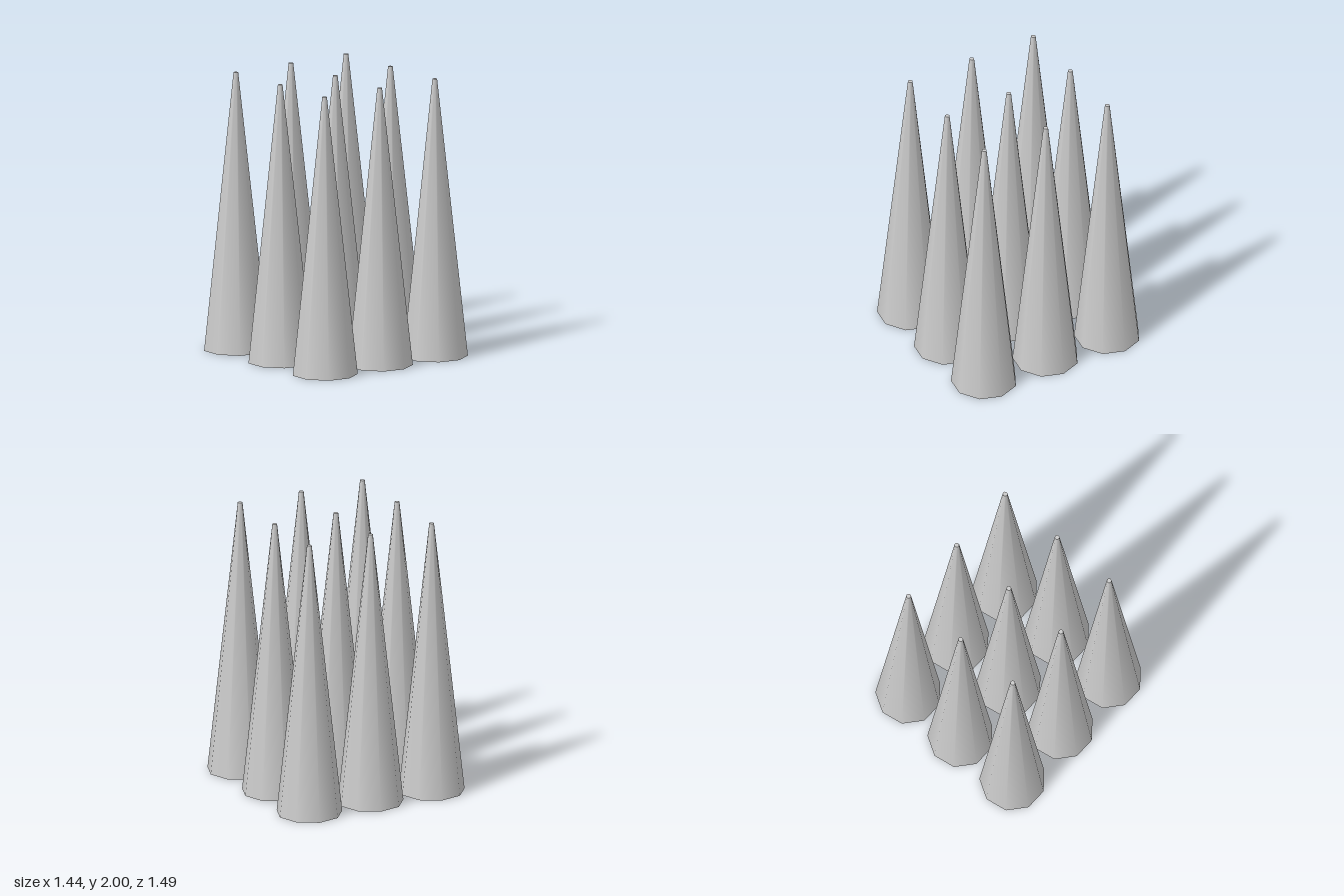
import * as THREE from 'three';

const TOP_RADIUS = 0.017;
const BASE_RADIUS = 0.235;
const HEIGHT = 2;
const SIDES = 9;
const SPACING_X = 0.491;
const SPACING_Z = 0.513;
// A nine-sided base reaches further toward +x than -x, so the grid shifts to centre it
const OFFSET_X = -BASE_RADIUS * (1 - Math.cos(Math.PI / SIDES)) / 2;

export function createModel() {
  const model = new THREE.Group();
  model.name = 'spikeGrid';
  const material = new THREE.MeshStandardMaterial({ color: 0xcccccc });

  // One capped, tapered spike with a corner facing +x
  const spike = new THREE.CylinderGeometry(
    TOP_RADIUS, BASE_RADIUS, HEIGHT, SIDES, 1, false, Math.PI / 2);
  spike.translate(0, HEIGHT / 2, 0);

  // Three by three grid of spikes
  for (let row = -1; row <= 1; row++) {
    for (let column = -1; column <= 1; column++) {
      const mesh = new THREE.Mesh(spike, material);
      mesh.name = `spikeRow${row + 2}Column${column + 2}`;
      mesh.position.set(OFFSET_X + column * SPACING_X, 0, row * SPACING_Z);
      model.add(mesh);
    }
  }
  return model;
}
